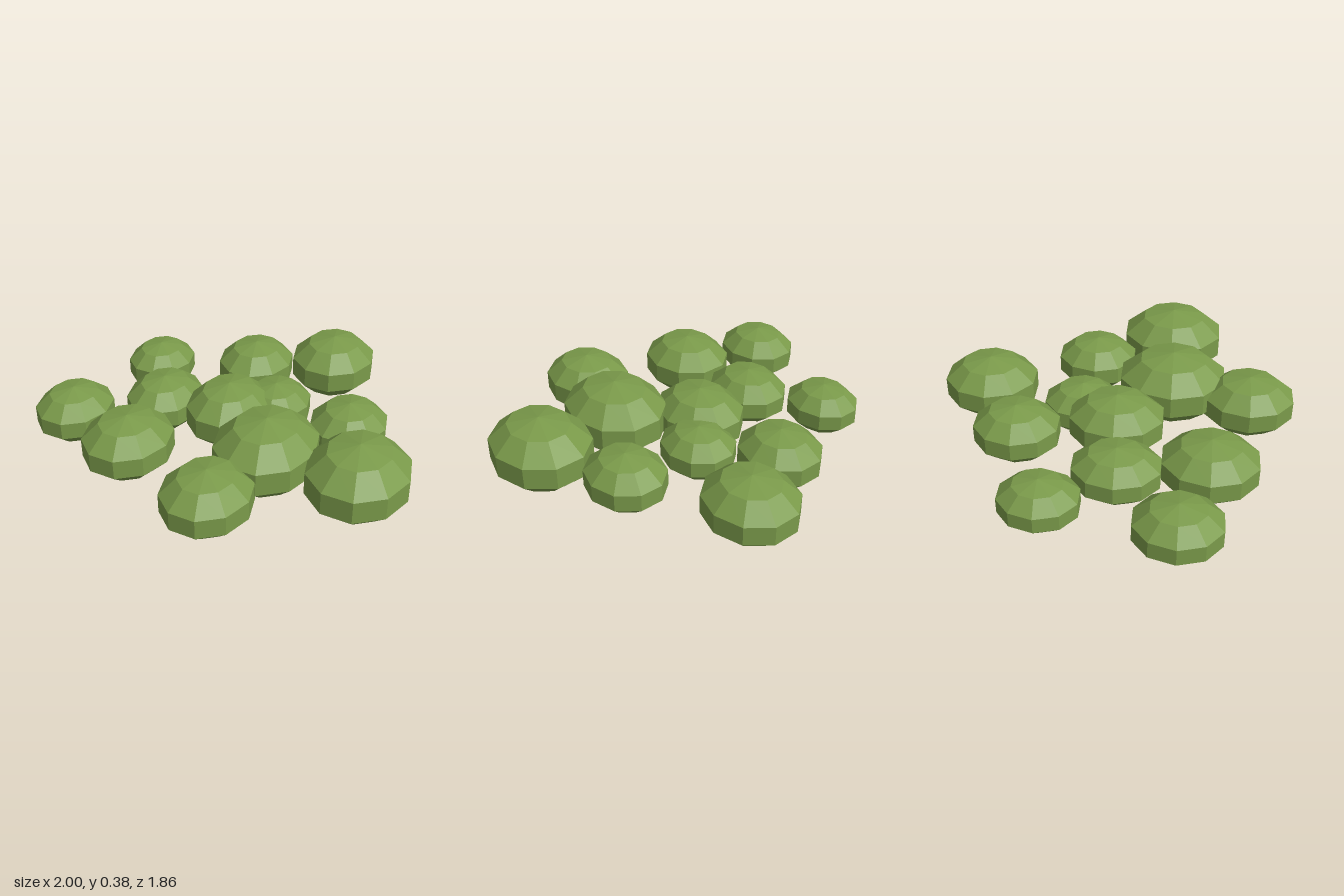
import * as THREE from 'three';

export function createModel() {
  const group = new THREE.Group();
  group.name = 'bushCluster';
  const leafGreen = new THREE.MeshStandardMaterial({ color: 0x7a9a4a, flatShading: true });
  leafGreen.name = 'leafGreen';

  // Ten-sided ball with five bands; its widest ring falls short of the unit radius
  const ball = new THREE.SphereGeometry(1, 10, 5);
  const ring = Math.sin(Math.PI * 0.4);

  // Each bush: centre x, centre z, half width, half depth, height
  const bushes = [
    [0.224, -0.694, 0.227, 0.238, 0.33],
    [-0.163, -0.489, 0.204, 0.214, 0.30],
    [-0.673, -0.296, 0.179, 0.192, 0.26],
    [0.107, -0.179, 0.184, 0.196, 0.27],
    [0.537, -0.147, 0.198, 0.208, 0.29],
    [-0.44, 0.048, 0.194, 0.216, 0.285],
    [-0.067, 0.016, 0.216, 0.238, 0.33],
    [0.28, 0.288, 0.254, 0.275, 0.38],
    [0.748, 0.27, 0.25, 0.267, 0.37],
    [-0.804, 0.36, 0.196, 0.208, 0.285],
    [-0.379, 0.5, 0.222, 0.235, 0.32],
    [0.179, 0.697, 0.216, 0.23, 0.315],
  ];

  bushes.forEach(([x, z, halfWidth, halfDepth, height], i) => {
    const bush = new THREE.Mesh(ball, leafGreen);
    bush.name = `bush${i + 1}`;
    bush.position.set(x, height / 2, z);
    bush.scale.set(halfWidth / ring, height / 2, halfDepth / (ring * ring));
    group.add(bush);
  });
  return group;
}
